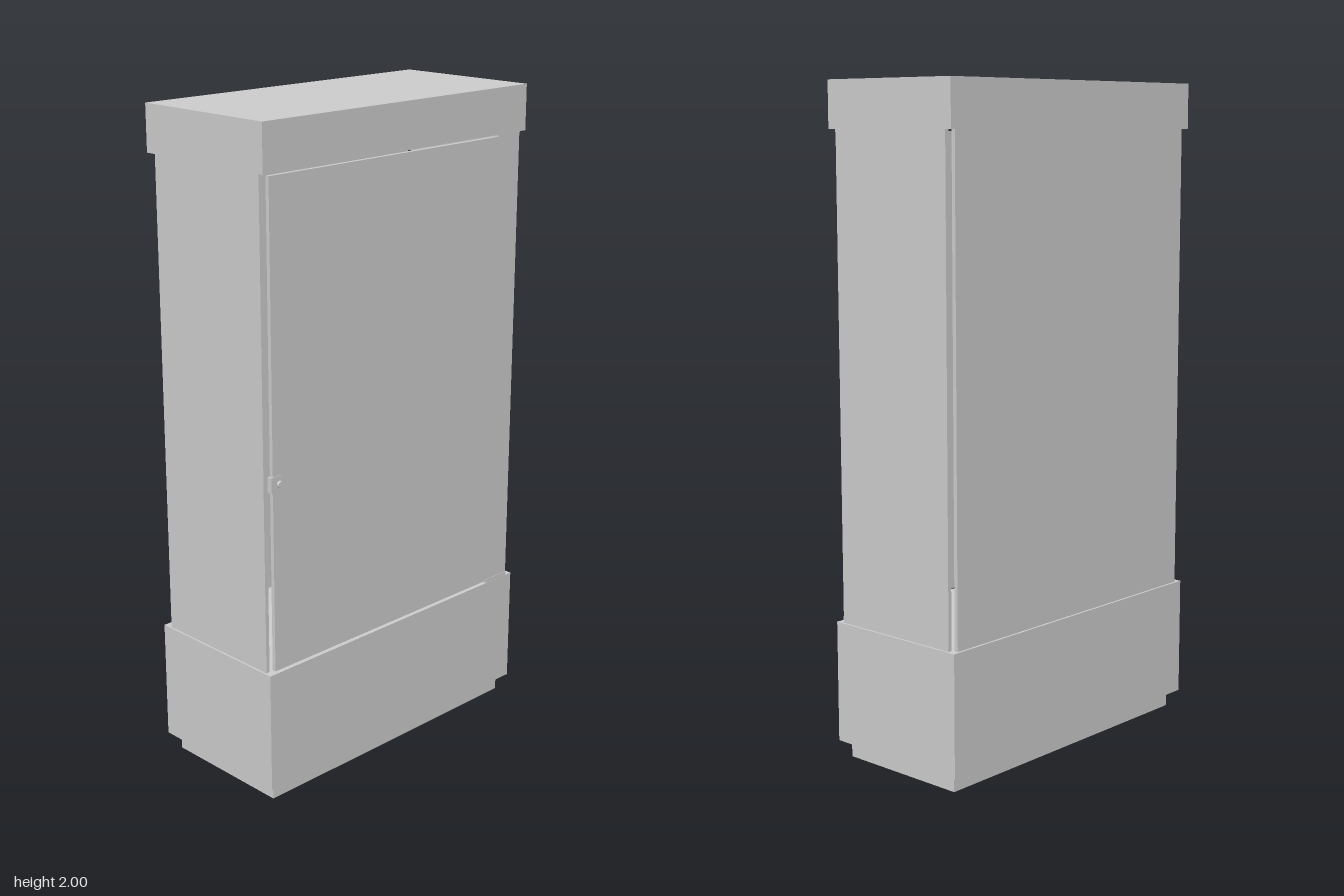
import * as THREE from 'three';

export function createModel() {
  const group = new THREE.Group();
  group.name = 'displayCabinet';
  const material = new THREE.MeshStandardMaterial({ color: 0xcccccc });

  const add = (name, geometry) => {
    const mesh = new THREE.Mesh(geometry, material);
    mesh.name = name;
    group.add(mesh);
    return mesh;
  };
  // Box given by its lower and upper limits on each axis
  const box = (name, [x0, x1], [y0, y1], [z0, z1]) => {
    const mesh = add(name, new THREE.BoxGeometry(x1 - x0, y1 - y0, z1 - z0));
    mesh.position.set((x0 + x1) / 2, (y0 + y1) / 2, (z0 + z1) / 2);
    return mesh;
  };

  const depth = [-0.245, 0.236];
  const low = 0.42, high = 1.862;

  // Solid base, recessed plinth and top cap
  box('plinth', [-0.5, 0.5], [0, 0.052], [-0.215, 0.21]);
  box('base', [-0.528, 0.528], [0.052, low], depth);
  box('topCap', [-0.528, 0.528], [high, 2], depth);

  // Thin panels around a hollow showcase, with open slits at the corners
  for (const s of [-1, 1]) {
    const xs = s > 0 ? [0.51, 0.522] : [-0.522, -0.51];
    box(s > 0 ? 'leftPanel' : 'rightPanel', xs, [low, high], [-0.218, 0.213]);
  }
  box('backPanel', [-0.506, 0.506], [low, high], [-0.238, -0.226]);

  // Door with a narrow gap above and below
  box('door', [-0.506, 0.503], [low + 0.008, high - 0.006], [0.222, 0.234]);

  // Hinge plates fill the gaps near the pivot side
  box('lowerHinge', [0.405, 0.503], [low, low + 0.012], [0.218, 0.2355]);
  box('upperHinge', [0.405, 0.503], [high - 0.009, high], [0.218, 0.2355]);

  // Lock plate and cylinder
  box('lockPlate', [-0.512, -0.472], [0.973, 1.02], [0.219, 0.2355]);
  const lock = add('lockCylinder', new THREE.CylinderGeometry(0.01, 0.01, 0.024, 20));
  lock.rotation.x = Math.PI / 2;
  lock.position.set(-0.483, 0.996, 0.232);

  return group;
}
